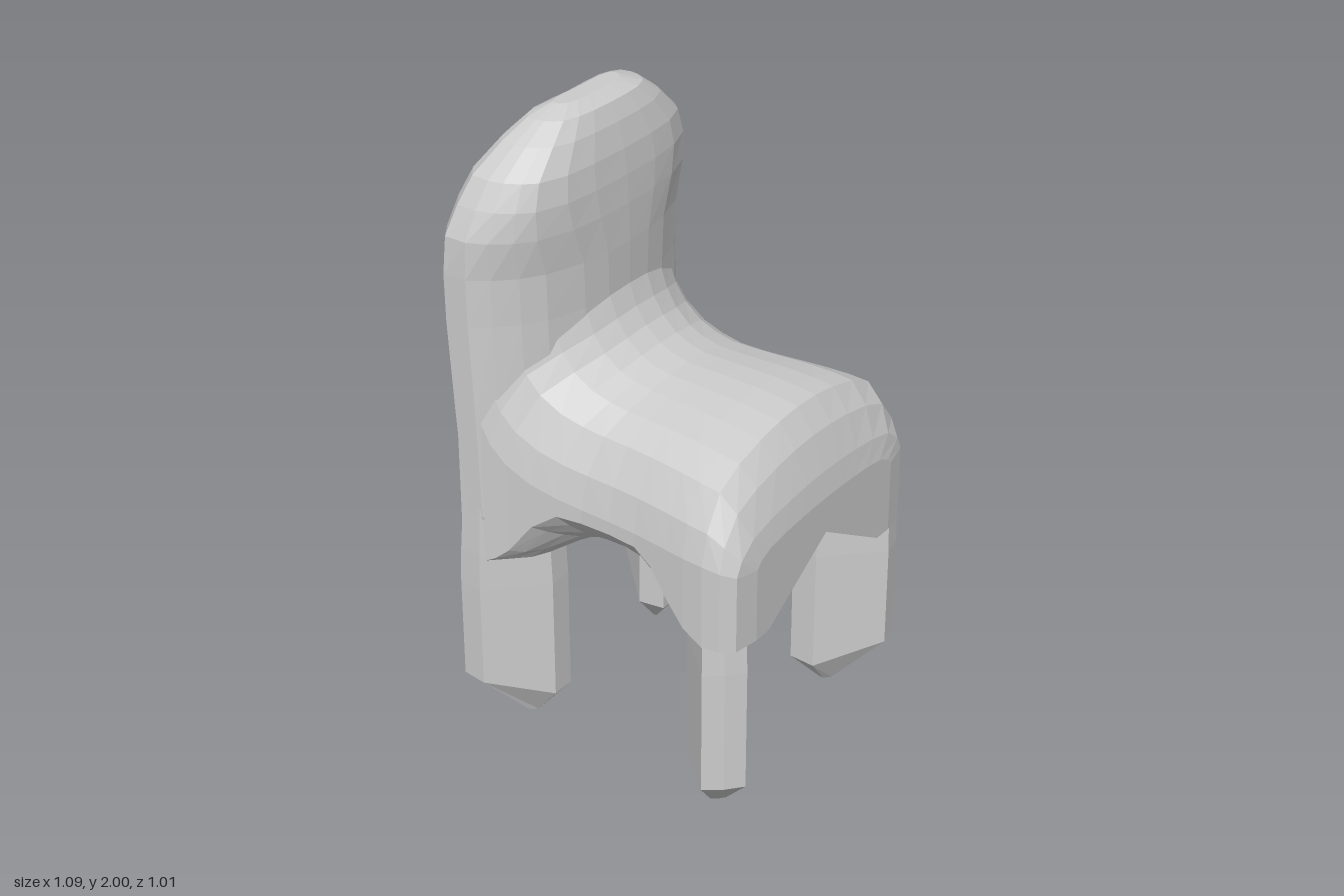
import * as THREE from 'three';

const { lerp, smoothstep } = THREE.MathUtils;
const material = new THREE.MeshStandardMaterial({ color: 0xcccccc, flatShading: true });

// Skins a stack of equal-length closed rings and caps both ends.
function loft(rings, name) {
  const n = rings[0].length, m = rings.length;
  const pts = rings.flat();
  for (const ring of [rings[0], rings[m - 1]]) {
    pts.push([0, 1, 2].map(k => ring.reduce((s, p) => s + p[k], 0) / n));
  }
  const tris = [];
  for (let i = 0; i < n; i++) {
    const j = (i + 1) % n;
    for (let r = 0; r < m - 1; r++) {
      const a = r * n + i, b = r * n + j;
      tris.push([a, b, b + n], [a, b + n, a + n]);
    }
    tris.push([n * m, j, i], [n * m + 1, (m - 1) * n + i, (m - 1) * n + j]);
  }
  // Signed volume tells whether the faces point outward
  const v = pts.map(p => new THREE.Vector3(...p));
  const volume = tris.reduce((s, [a, b, c]) => s + v[a].dot(v[b].clone().cross(v[c])), 0);
  if (volume < 0) tris.forEach(t => t.reverse());
  const geometry = new THREE.BufferGeometry();
  geometry.setAttribute('position', new THREE.Float32BufferAttribute(pts.flat(), 3));
  geometry.setIndex(tris.flat());
  geometry.computeVertexNormals();
  const mesh = new THREE.Mesh(geometry, material);
  mesh.name = name;
  return mesh;
}

// Completes a half outline (z >= 0, first and last point on z = 0) by mirroring.
const mirrorZ = half => [
  ...half,
  ...half.slice(1, -1).reverse().map(([x, y, z]) => [x, y, -z]),
];

// Underside: rounded up toward every edge, drawn down along the diagonals to the legs
function underside(x, w) {
  const u = Math.min(1, Math.abs(x - 0.02) / 0.5);
  const belly = 0.685 + 0.15 * Math.max(0, (Math.max(u, w) - 0.45) / 0.55) ** 2;
  const diagonal = 1 - smoothstep(Math.abs(u - w), 0.15, 0.8);
  return lerp(belly, 0.6, diagonal * smoothstep(Math.min(u, w), 0.15, 0.6));
}

// Seat: cross-sections along x, bent near the backrest to follow its curved front
function makeSeat() {
  const top = [[0, 1], [0.2, 0.985], [0.4, 0.94], [0.62, 0.86], [0.82, 0.72], [0.95, 0.42], [1, 0.13]];
  const bottom = [1, 0.92, 0.82, 0.72, 0.62, 0.52, 0.42, 0.32, 0.2, 0.1, 0];
  // x, half width, crest height, fillet lift
  const sections = [
    [-0.25, 0.485, 1.2, 0.24], [-0.2, 0.485, 1.2, 0.24], [-0.17, 0.482, 1.2, 0.21],
    [-0.145, 0.478, 1.2, 0.14], [-0.11, 0.472, 1.2, 0.085], [-0.06, 0.463, 1.2, 0.04],
    [-0.01, 0.455, 1.2, 0.017], [0.04, 0.449, 1.2, 0.004], [0.1, 0.453, 1.2, 0],
    [0.17, 0.464, 1.197, 0], [0.23, 0.475, 1.194, 0], [0.29, 0.485, 1.19, 0],
    [0.36, 0.497, 1.182, 0], [0.43, 0.503, 1.17, 0], [0.485, 0.495, 1.09, 0],
    [0.525, 0.465, 0.98, 0], [0.54, 0.38, 0.9, 0],
  ];
  return loft(sections.map(([x, w, crest, lift]) => {
    const bend = 0.21 * (1 - smoothstep(x, -0.2, 0.2));
    const bentX = f => x - bend * f ** 2.5;
    return mirrorZ([
      ...top.map(([f, h]) => [bentX(f), 0.83 + (crest - 0.83) * h + lift, f * w]),
      ...bottom.map(f => [bentX(f), underside(bentX(f), f), f * w]),
    ]);
  }), 'seat');
}

// Backrest: horizontal slices, flat behind and bulging in front, squarer toward the top
function makeBackrest() {
  // Depth fraction (rear to front), half-width fraction, half-width fraction at the top
  const outline = [
    [0.02, 0, 0], [0, 0.35, 0.35], [0, 0.68, 0.68], [0.07, 0.86, 0.86], [0.19, 1, 0.98],
    [0.4, 1, 1], [0.56, 0.92, 0.98], [0.72, 0.8, 0.92], [0.84, 0.66, 0.84],
    [0.95, 0.4, 0.62], [0.99, 0.2, 0.35], [1, 0, 0],
  ];
  // y, half width, rear x, front x
  const slices = [
    [0.7, 0.47, -0.46, -0.23], [0.76, 0.485, -0.49, -0.21], [0.9, 0.487, -0.51, -0.19],
    [1.1, 0.49, -0.53, -0.17],
    [1.4, 0.495, -0.548, -0.17], [1.55, 0.497, -0.55, -0.168], [1.67, 0.495, -0.54, -0.17],
    [1.76, 0.46, -0.515, -0.175], [1.84, 0.415, -0.485, -0.185], [1.92, 0.32, -0.435, -0.205],
    [1.975, 0.235, -0.39, -0.23], [2, 0.15, -0.345, -0.28],
  ];
  return loft(slices.map(([y, w, rear, front]) => {
    const square = smoothstep(y, 1.5, 1.85);
    return mirrorZ(outline.map(([d, z, zTop]) =>
      [rear + (front - rear) * d, y, lerp(z, zTop, square) * w]));
  }), 'backrest');
}

// Leg: bar stretched along the diagonal; the foot is blunt with a flat outer end,
// or pointed with its tip toward the inside and its outer end cut higher
function makeLeg(sx, sz, blunt, name) {
  const corner = blunt ? [0.485, 0.46] : [0.515, 0.485];
  const hex = [corner, [0.43, 0.5], [0.27, 0.34], [0.27, 0.26], [0.36, 0.25], [0.53, 0.41]];
  const shift = sx < 0 ? -0.04 : 0;
  const [tipX, tipZ, tipScale, cut] = blunt ? [0.4, 0.375, 0.35, 0] : [0.36, 0.34, 0.12, 0.07];
  // y, scale, axis x, axis z, lift of the outer end
  const rings = [
    [0.78, 0.9, 0.4, 0.375, 0], [0.62, 0.97, 0.4, 0.375, 0], [0.5, 1, 0.4, 0.375, 0],
    [0.09, 1, 0.4, 0.375, cut], [0, tipScale, tipX, tipZ, 0],
  ];
  return loft(rings.map(([y, s, ax, az, lift]) => hex.map(([x, z]) => [
    sx * (ax + (x - 0.4) * s + shift),
    y + (x > 0.4 ? lift : 0),
    sz * (az + (z - 0.375) * s),
  ])), name);
}

export function createModel() {
  const chair = new THREE.Group();
  chair.name = 'chair';
  chair.add(makeSeat(), makeBackrest());
  for (const sx of [1, -1]) {
    for (const sz of [1, -1]) {
      const name = (sx > 0 ? 'seatEnd' : 'backrestEnd') + (sz > 0 ? 'FrontLeg' : 'RearLeg');
      chair.add(makeLeg(sx, sz, sx > 0 && sz > 0, name));
    }
  }
  return chair;
}
